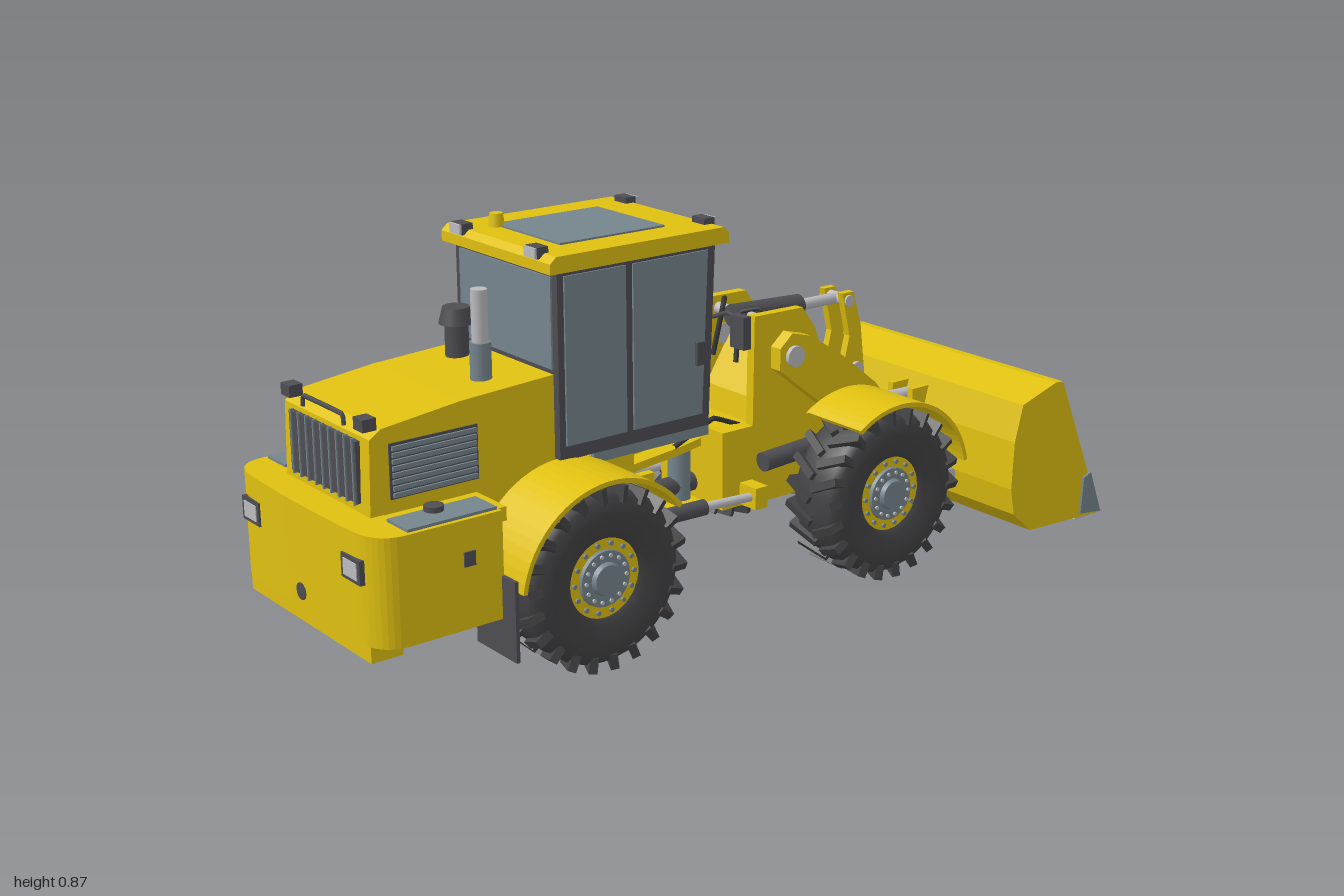
import * as THREE from 'three';

const mat = (name, color) => Object.assign(new THREE.MeshStandardMaterial({ color }), { name });
const yellow = mat('yellow paint', 0xdfc010);
const rubber = mat('tyre rubber', 0x424244);
const dark = mat('dark trim', 0x4e4d52);
const slate = mat('slate grey', 0x76858d);
const steel = mat('bright steel', 0xbcbcc0);
const black = mat('dark hose', 0x333438);
const V = (x, y, z) => new THREE.Vector3(x, y, z);

export function createModel() {
  const root = new THREE.Group();
  root.name = 'vehicle';
  const add = (name, geo, m, parent = root) => {
    const mesh = new THREE.Mesh(geo, m);
    mesh.name = name;
    parent.add(mesh);
    return mesh;
  };
  const box = (name, m, x0, x1, y0, y1, z0, z1) => add(name,
    new THREE.BoxGeometry(x1 - x0, y1 - y0, Math.abs(z1 - z0)).translate((x0 + x1) / 2, (y0 + y1) / 2, (z0 + z1) / 2), m);
  // side profile pulled across z
  const slab = (name, m, pts, z0, z1) => {
    const shape = new THREE.Shape(pts.map(p => new THREE.Vector2(...p)));
    const geo = new THREE.ExtrudeGeometry(shape, { depth: Math.abs(z1 - z0), bevelEnabled: false });
    return add(name, geo.translate(0, 0, Math.min(z0, z1)), m);
  };
  const rod = (name, m, a, b, r, r2 = r, parent = root) => {
    const d = b.clone().sub(a);
    const mesh = add(name, new THREE.CylinderGeometry(r2, r, d.length(), 20), m, parent);
    mesh.position.copy(a).add(b).multiplyScalar(0.5);
    mesh.quaternion.setFromUnitVectors(V(0, 1, 0), d.normalize());
  };
  const tube = (name, m, pts, r) =>
    add(name, new THREE.TubeGeometry(new THREE.CatmullRomCurve3(pts, false, 'catmullrom', 0.1), 24, r, 6), m);
  // ring segment profile, angles in degrees
  const arc = (cx, cy, r0, r1, a0, a1) => {
    const side = r => Array.from({ length: 25 }, (_, i) => {
      const a = THREE.MathUtils.degToRad(a0 + (a1 - a0) * i / 24);
      return [cx + r * Math.cos(a), cy + r * Math.sin(a)];
    });
    return [...side(r1), ...side(r0).reverse()];
  };

  // wheels: tyre, chevron lugs, rim and bolts
  const tyreProfile = [[0.085, -0.055], [0.1, -0.066], [0.14, -0.073], [0.172, -0.068], [0.184, -0.05], [0.186, 0],
    [0.184, 0.05], [0.172, 0.068], [0.14, 0.073], [0.1, 0.066], [0.085, 0.055]].map(p => new THREE.Vector2(...p));
  const wheel = (name, x, s) => {
    const w = new THREE.Group();
    w.name = name;
    w.position.set(x, 0.197, s * 0.26);
    w.rotation.y = s < 0 ? Math.PI : 0;
    root.add(w);
    add('tyre', new THREE.LatheGeometry(tyreProfile, 48).rotateX(Math.PI / 2), rubber, w);
    for (const side of [1, -1]) for (let i = 0; i < 22; i++) {
      const lug = new THREE.BoxGeometry(0.034, 0.018, 0.078).rotateX(side * 0.45).translate(0.179, 0, side * 0.037);
      add('treadLug', lug.rotateZ((i + (side > 0 ? 0 : 0.5)) / 11 * Math.PI), rubber, w);
    }
    rod('rim', yellow, V(0, 0, -0.05), V(0, 0, 0.052), 0.088, 0.088, w);
    rod('hub', slate, V(0, 0, 0.05), V(0, 0, 0.06), 0.062, 0.06, w);
    rod('hubCap', slate, V(0, 0, 0.06), V(0, 0, 0.07), 0.036, 0.032, w);
    for (let i = 0; i < 14; i++) {
      const c = Math.cos(i / 7 * Math.PI), n = Math.sin(i / 7 * Math.PI);
      rod('wheelBolt', slate, V(c * 0.074, n * 0.074, 0.05), V(c * 0.074, n * 0.074, 0.058), 0.005, 0.005, w);
      rod('hubBolt', steel, V(c * 0.05, n * 0.05, 0.058), V(c * 0.05, n * 0.05, 0.064), 0.004, 0.004, w);
    }
  };

  // axles, fenders and steering cylinders
  for (const x of [-0.49, 0.3]) {
    rod('axle', slate, V(x, 0.197, -0.22), V(x, 0.197, 0.22), 0.045);
    add('differential', new THREE.SphereGeometry(0.085, 20, 14), slate).position.set(x, 0.197, 0);
    for (const s of [1, -1]) rod('axleHousing', slate, V(x, 0.197, s * 0.07), V(x, 0.197, s * 0.17), 0.05, 0.068);
  }
  for (const s of [1, -1]) {
    wheel('rearWheel', -0.49, s);
    wheel('frontWheel', 0.3, s);
    slab('rearFender', yellow, arc(-0.49, 0.195, 0.208, 0.218, 36, 172), s * 0.17, s * 0.345);
    slab('frontFender', yellow, arc(0.3, 0.195, 0.208, 0.218, 12, 124), s * 0.172, s * 0.345);
    slab('rearFenderPanel', yellow, arc(-0.49, 0.195, 0.14, 0.214, 36, 176), s * 0.165, s * 0.175);
    slab('frontFenderPanel', yellow, arc(0.3, 0.195, 0.16, 0.214, 12, 124), s * 0.165, s * 0.175);
    box('mudFlap', dark, -0.715, -0.707, 0.08, 0.25, s * 0.19, s * 0.33);
    rod('steeringCylinder', dark, V(-0.3, 0.2, s * 0.12), V(-0.09, 0.205, s * 0.14), 0.018);
    rod('steeringRod', steel, V(-0.09, 0.205, s * 0.14), V(0.05, 0.2, s * 0.145), 0.01);
    box('steeringBracket', yellow, 0.035, 0.07, 0.175, 0.225, s * 0.08, s * 0.165);
    box('frameRail', yellow, -0.85, -0.2, 0.17, 0.3, s * 0.085, s * 0.105);
  }

  // frames, hitch and drive shaft
  box('rearFrame', yellow, -0.72, -0.3, 0.24, 0.4, -0.165, 0.165);
  for (const y of [0.16, 0.305, 0.345]) {
    const plate = slab('hitchPlate', yellow, [[-0.3, -0.1], [-0.09, -0.06], [-0.02, -0.04], [-0.02, 0.04], [-0.09, 0.06], [-0.3, 0.1]], 0, 0.018);
    plate.rotation.x = -Math.PI / 2;
    plate.position.y = y;
  }
  rod('hitchPin', slate, V(-0.05, 0.15, 0), V(-0.05, 0.372, 0), 0.026);
  rod('driveShaft', dark, V(-0.4, 0.21, 0), V(0.2, 0.21, 0), 0.022);
  box('frontFrameBack', yellow, -0.015, 0.08, 0.17, 0.35, -0.11, 0.11);
  box('frontFrame', yellow, 0.06, 0.42, 0.16, 0.3, -0.1, 0.1);

  // counterweight with rounded rear corners, open underneath
  const cw = new THREE.Shape();
  cw.moveTo(-0.71, 0.285).lineTo(-0.93, 0.285).quadraticCurveTo(-0.985, 0.28, -0.992, 0.21)
    .quadraticCurveTo(-1.004, 0, -0.992, -0.21).quadraticCurveTo(-0.985, -0.28, -0.93, -0.285)
    .lineTo(-0.71, -0.285).lineTo(-0.71, -0.255).lineTo(-0.9, -0.25).lineTo(-0.9, 0.25).lineTo(-0.71, 0.255);
  const cwGeo = new THREE.ExtrudeGeometry(cw, { depth: 0.225, bevelEnabled: false, curveSegments: 8 });
  add('counterweight', cwGeo.rotateX(-Math.PI / 2).translate(0, 0.16, 0), yellow);
  box('counterweightLid', yellow, -0.92, -0.69, 0.355, 0.384, -0.27, 0.27);
  box('counterweightSkirt', yellow, -0.985, -0.915, 0.125, 0.165, -0.24, 0.24);
  rod('towPin', dark, V(-1, 0.2, 0), V(-0.96, 0.2, 0), 0.018);
  rod('fuelCap', dark, V(-0.82, 0.385, 0.215), V(-0.82, 0.402, 0.215), 0.02);

  // engine hood with grilles, lamps and pipes
  slab('hood', yellow, [[-0.93, 0.38], [-0.49, 0.38], [-0.49, 0.59], [-0.72, 0.578], [-0.9, 0.557], [-0.925, 0.54]], -0.165, 0.165);
  box('rearGrille', dark, -0.936, -0.92, 0.405, 0.53, -0.13, 0.13);
  for (let i = 0; i < 9; i++) box('rearGrilleBar', slate, -0.939, -0.93, 0.4, 0.535, -0.122 + i * 0.03, -0.118 + i * 0.03);
  for (const s of [1, -1]) {
    box('sideCoverPlate', slate, -0.915, -0.715, 0.383, 0.391, s * 0.2, s * 0.275);
    box('tailLampFrame', dark, -0.998, -0.985, 0.285, 0.335, s * 0.165, s * 0.235);
    box('tailLamp', steel, -1.0, -0.99, 0.293, 0.327, s * 0.175, s * 0.225);
    box('sideMarker', dark, -0.8, -0.775, 0.29, 0.32, s * 0.284, s * 0.289);
    box('sideGrille', dark, -0.885, -0.685, 0.412, 0.525, s * 0.16, s * 0.168);
    for (let i = 0; i < 8; i++) box('louver', slate, -0.88, -0.69, 0.416 + i * 0.0135, 0.425 + i * 0.0135, s * 0.165, s * 0.173);
    box('rearLamp', dark, -0.935, -0.905, 0.555, 0.58, s * 0.125, s * 0.16);
  }
  tube('hoodHandle', dark, [V(-0.93, 0.55, -0.08), V(-0.93, 0.572, -0.075), V(-0.93, 0.572, 0.075), V(-0.93, 0.55, 0.08)], 0.005);
  rod('exhaustBase', slate, V(-0.615, 0.56, 0.078), V(-0.615, 0.66, 0.078), 0.022);
  rod('exhaustPipe', steel, V(-0.615, 0.66, 0.078), V(-0.615, 0.768, 0.078), 0.017);
  rod('airIntake', dark, V(-0.565, 0.57, -0.088), V(-0.565, 0.66, -0.088), 0.025);
  rod('airIntakeCap', dark, V(-0.565, 0.655, -0.088), V(-0.565, 0.69, -0.088), 0.037, 0.028);

  // cab
  box('cabFloor', slate, -0.41, -0.108, 0.385, 0.412, -0.175, 0.175);
  slab('cabFrame', dark, [[-0.5, 0.41], [-0.115, 0.41], [-0.098, 0.805], [-0.5, 0.805]], -0.183, 0.183);
  slab('windscreen', slate, [[-0.1145, 0.43], [-0.1105, 0.43], [-0.0945, 0.79], [-0.0985, 0.79]], -0.166, 0.166);
  box('rearWindow', slate, -0.504, -0.496, 0.6, 0.79, -0.165, 0.165);
  for (const s of [1, -1]) {
    box('rearSideWindow', slate, -0.485, -0.333, 0.44, 0.793, s * 0.18, s * 0.187);
    slab('doorWindow', slate, [[-0.315, 0.44], [-0.135, 0.44], [-0.12, 0.793], [-0.315, 0.793]], s * 0.18, s * 0.187);
    box('doorHandle', dark, -0.155, -0.13, 0.55, 0.6, s * 0.185, s * 0.195);
    tube('mirrorArm', dark, [V(-0.1, 0.645, s * 0.18), V(-0.09, 0.66, s * 0.215), V(-0.09, 0.65, s * 0.255)], 0.005);
    box('mirror', dark, -0.1, -0.08, 0.592, 0.662, s * 0.236, s * 0.279);
    box('frontWorkLamp', dark, -0.105, -0.078, 0.828, 0.851, s * 0.115, s * 0.156);
    box('frontLampLens', steel, -0.078, -0.071, 0.829, 0.85, s * 0.116, s * 0.155);
    box('rearWorkLamp', dark, -0.527, -0.5, 0.828, 0.851, s * 0.115, s * 0.156);
    box('rearLampLens', steel, -0.532, -0.527, 0.829, 0.85, s * 0.116, s * 0.155);
  }
  slab('roof', yellow, [[-0.525, 0.803], [-0.072, 0.803], [-0.072, 0.825], [-0.085, 0.838], [-0.51, 0.838], [-0.525, 0.825]], -0.197, 0.197);
  box('roofPanel', slate, -0.445, -0.18, 0.835, 0.842, -0.118, 0.118);
  rod('beacon', yellow, V(-0.445, 0.835, -0.11), V(-0.445, 0.866, -0.11), 0.018, 0.014);
  rod('wiper', black, V(-0.098, 0.72, 0.03), V(-0.106, 0.52, -0.035), 0.004);

  // entry platform, ladder and handrails
  box('entryPlatform', slate, -0.335, -0.195, 0.375, 0.39, -0.32, -0.18);
  for (const x of [-0.31, -0.205]) {
    rod('ladderRail', dark, V(x, 0.38, -0.26), V(x + 0.01, 0.1, -0.315), 0.009);
    tube('ladderHandrail', yellow, [V(x, 0.38, -0.315), V(x, 0.62, -0.315), V(x + 0.02, 0.625, -0.315), V(x + 0.03, 0.38, -0.315)], 0.005);
  }
  for (let i = 0; i < 3; i++)
    box('ladderStep', slate, -0.305, -0.195, 0.115 + i * 0.085, 0.127 + i * 0.085, -0.332 + i * 0.017, -0.272 + i * 0.017);
  tube('cabHandrail', yellow, [V(-0.13, 0.475, -0.18), V(-0.13, 0.48, -0.2), V(-0.13, 0.7, -0.2), V(-0.13, 0.705, -0.18)], 0.005);

  // front tower, lift arms and bucket linkage
  const tower = [[0.07, 0.25], [0.33, 0.25], [0.31, 0.4], [0.25, 0.55], [0.215, 0.598], [0.075, 0.6]];
  const arm = [[0.11, 0.48], [0.3, 0.33], [0.46, 0.19], [0.6, 0.1], [0.645, 0.095], [0.67, 0.12],
    [0.655, 0.15], [0.52, 0.26], [0.4, 0.4], [0.3, 0.48], [0.2, 0.545], [0.145, 0.56], [0.11, 0.53]];
  const crank = [[0.4, 0.585], [0.435, 0.585], [0.46, 0.5], [0.475, 0.38], [0.505, 0.29], [0.48, 0.268], [0.445, 0.3], [0.405, 0.4], [0.425, 0.48]];
  for (const s of [1, -1]) {
    slab('towerPlate', yellow, tower, s * 0.087, s * 0.11);
    slab('liftArm', yellow, arm, s * 0.125, s * 0.156);
    slab('bellcrank', yellow, crank, s * 0.022, s * 0.04);
    rod('armPivotPin', steel, V(0.15, 0.508, s * 0.085), V(0.15, 0.508, s * 0.166), 0.024);
    rod('bucketPin', steel, V(0.645, 0.122, s * 0.1), V(0.645, 0.122, s * 0.168), 0.018);
    rod('liftCylinder', dark, V(0.08, 0.27, s * 0.135), V(0.3, 0.285, s * 0.14), 0.022);
    rod('liftRod', steel, V(0.3, 0.285, s * 0.14), V(0.44, 0.27, s * 0.14), 0.012);
    tube('hose', black, [V(0.08, 0.48, s * 0.04), V(0.1, 0.59, s * 0.03), V(0.13, 0.6, s * 0.06), V(0.15, 0.58, s * 0.088)], 0.006);
    tube('steeringHose', black, [V(-0.12, 0.33, s * 0.07), V(0, 0.37, s * 0.06), V(0.1, 0.33, s * 0.08)], 0.006);
    box('bucketBracket', yellow, 0.63, 0.69, 0.1, 0.22, s * 0.105, s * 0.122);
    box('linkBracket', yellow, 0.635, 0.69, 0.26, 0.31, s * 0.026, s * 0.042);
  }
  slab('towerCrossPlate', yellow, [[0.075, 0.25], [0.3, 0.25], [0.26, 0.4], [0.2, 0.525], [0.18, 0.525], [0.1, 0.4]], -0.09, 0.09);
  slab('armCrossBeam', yellow, [[0.42, 0.3], [0.56, 0.18], [0.58, 0.205], [0.44, 0.37]], -0.13, 0.13);
  rod('towerPin', steel, V(0.135, 0.57, -0.1), V(0.135, 0.57, 0.1), 0.014);
  rod('bellcrankPin', steel, V(0.445, 0.395, -0.05), V(0.445, 0.395, 0.05), 0.02);
  rod('tiltCylinder', dark, V(0.1, 0.575, 0), V(0.3, 0.566, 0), 0.026);
  rod('tiltRod', steel, V(0.3, 0.566, 0), V(0.42, 0.565, 0), 0.013);
  rod('tiltPin', steel, V(0.42, 0.565, -0.045), V(0.42, 0.565, 0.045), 0.014);
  rod('bucketLink', steel, V(0.485, 0.29, 0), V(0.665, 0.285, 0), 0.016);

  // bucket
  const outer = [[0.83, 0.364], [0.805, 0.366], [0.695, 0.332], [0.672, 0.245], [0.667, 0.13], [0.68, 0.065], [0.74, 0.012], [0.985, 0.002]];
  const inner = [[0.985, 0.01], [0.745, 0.026], [0.695, 0.072], [0.68, 0.132], [0.686, 0.242], [0.71, 0.32], [0.83, 0.35]];
  slab('bucketShell', yellow, [...outer, ...inner], -0.337, 0.337);
  slab('bucketFloorPlate', steel, [[0.8, 0.018], [0.905, 0.01], [0.905, 0.021], [0.8, 0.027]], -0.335, 0.335);
  slab('cuttingEdge', steel, [[0.9, 0], [1, 0], [1, 0.006], [0.97, 0.014], [0.9, 0.015]], -0.343, 0.343);
  slab('wearPlate', slate, [[0.9, 0.012], [0.983, 0.008], [0.983, 0.014], [0.9, 0.022]], -0.335, 0.335);
  for (let i = 0; i < 8; i++) rod('edgeBolt', black, V(0.94, 0.012, -0.287 + i * 0.082), V(0.94, 0.023, -0.287 + i * 0.082), 0.008);
  for (const s of [1, -1]) {
    slab('bucketSide', yellow, outer, s * 0.335, s * 0.344);
    slab('sideCutter', slate, [[0.912, 0.015], [0.985, 0.006], [0.942, 0.115], [0.918, 0.105]], s * 0.333, s * 0.35);
  }
  return root;
}
